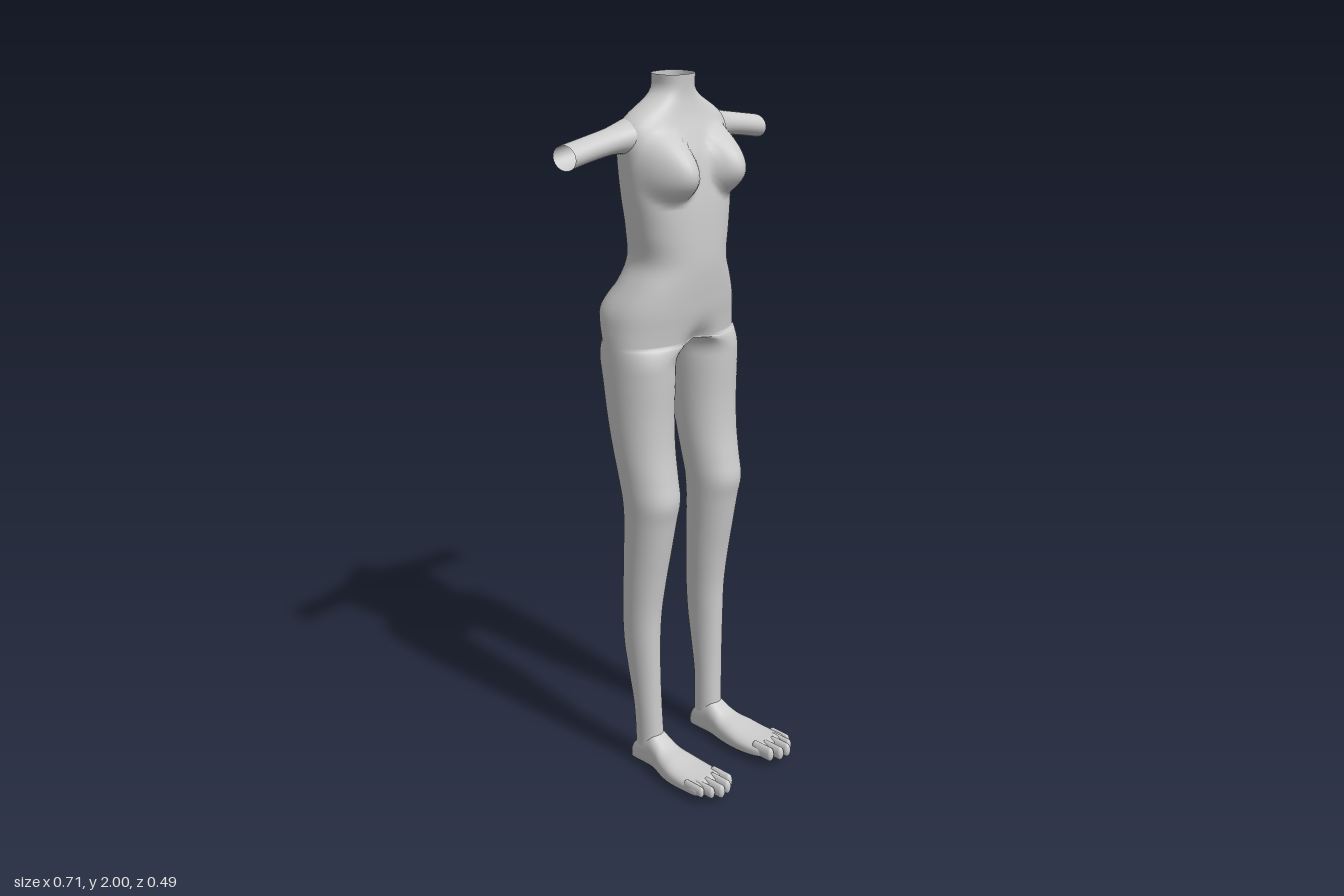
import * as THREE from 'three';
import { mergeGeometries, mergeVertices } from 'three/addons/utils/BufferGeometryUtils.js';

// Smooth interpolation through rows of [position, ...values]
function profile(rows) {
  const n = rows[0].length - 1;
  const curve = new THREE.CubicInterpolant(rows.map(r => r[0]), rows.flatMap(r => r.slice(1)), n, new Float32Array(n));
  return t => Array.from(curve.evaluate(t));
}

const gauss = (v, mid, width) => Math.exp(-(((v - mid) / width) ** 2));
const power = (v, n) => Math.sign(v) * Math.abs(v) ** (2 / n);

// Skin over closed rings; faces lying in the middle plane are left out
function loft(rings, capEnds = false) {
  const n = rings[0].length, pos = rings.flat(2), index = [];
  const onPlane = i => Math.abs(pos[i * 3]) < 1e-6;
  const face = (...f) => { if (!f.every(onPlane)) index.push(...f); };
  for (let i = 0; i < rings.length - 1; i++) {
    for (let j = 0; j < n; j++) {
      const k = (j + 1) % n, a = i * n + j, b = i * n + k;
      face(a, b, a + n);
      face(b, b + n, a + n);
    }
  }
  if (capEnds) {
    const last = (rings.length - 1) * n;
    for (let j = 1; j < n - 1; j++) {
      index.push(0, j + 1, j, last, last + j, last + j + 1);
    }
  }
  const g = new THREE.BufferGeometry();
  g.setAttribute('position', new THREE.Float32BufferAttribute(pos, 3));
  g.setIndex(index);
  g.computeVertexNormals();
  return g;
}

// Copy of a geometry on the other side of the body
function mirrored(geometry) {
  const g = geometry.clone(), p = g.attributes.position, idx = g.index.array;
  for (let i = 0; i < p.count; i++) p.setX(i, -p.getX(i));
  for (let i = 0; i < idx.length; i += 3) [idx[i], idx[i + 1]] = [idx[i + 1], idx[i]];
  g.computeVertexNormals();
  return g;
}

// y, half width, front z, back z
const torso = profile([
  [1.15, 0.212, 0.008, -0.192], [1.2, 0.213, 0.01, -0.2], [1.3, 0.212, 0.015, -0.222],
  [1.35, 0.208, 0.022, -0.24], [1.39, 0.202, 0.029, -0.247], [1.42, 0.19, 0.033, -0.232],
  [1.46, 0.168, 0.038, -0.205], [1.52, 0.14, 0.043, -0.187], [1.6, 0.149, 0.042, -0.178],
  [1.7, 0.165, 0.036, -0.18], [1.8, 0.175, 0.018, -0.178], [1.85, 0.177, 0, -0.17],
  [1.88, 0.168, -0.012, -0.162], [1.9, 0.148, -0.019, -0.156], [1.92, 0.115, -0.024, -0.148],
  [1.94, 0.08, -0.028, -0.14], [1.96, 0.058, -0.029, -0.136], [2, 0.055, -0.027, -0.134],
]);
// y, inner x, outer x, front z, back z
const leg = profile([
  [0.03, 0.089, 0.163, -0.02, -0.115], [0.1, 0.09, 0.163, -0.026, -0.113], [0.2, 0.092, 0.167, -0.03, -0.116],
  [0.3, 0.092, 0.172, -0.031, -0.132], [0.4, 0.089, 0.178, -0.031, -0.146], [0.5, 0.082, 0.182, -0.028, -0.148],
  [0.6, 0.073, 0.186, -0.015, -0.143], [0.7, 0.065, 0.19, 0.003, -0.138], [0.8, 0.057, 0.195, 0.021, -0.133],
  [0.86, 0.053, 0.199, 0.033, -0.137], [0.92, 0.049, 0.202, 0.023, -0.149], [1, 0.044, 0.207, 0.01, -0.165],
  [1.1, 0.04, 0.211, 0.006, -0.184], [1.2, 0.036, 0.213, 0.01, -0.2], [1.3, 0.032, 0.212, 0.015, -0.222],
  [1.35, 0.03, 0.208, 0.022, -0.24],
]);

// One half of the body at height y: half a torso above, a closed leg below
function bodyRing(y) {
  const OUT = 40, IN = 20, ring = [];
  const [w, tf, tb] = torso(Math.max(y, 1.15)), [xi, xo, lf, lb] = leg(Math.min(y, 1.35));
  const s = THREE.MathUtils.clamp((1.305 - y) / 0.065, 0, 1);
  const split = Math.sqrt(1 - (1 - s) ** 2);
  const zf = y > 1.25 ? tf : lf, zb = y > 1.25 ? tb : lb;
  const zc = (zf + zb) / 2, rz = (zf - zb) / 2, cx = (xi + xo) / 2;
  for (let j = 0; j < OUT + IN; j++) {
    const outer = j <= OUT;
    const a = outer ? Math.PI * j / OUT : Math.PI * (1 + (j - OUT) / IN);
    const sn = j === OUT || j === 0 ? 0 : Math.sin(a), cs = Math.cos(a);
    const tx = outer ? w * power(sn, 2.35) : 0;
    const lx = cx + (xo - xi) / 2 * power(sn, 2.15);
    const t = THREE.MathUtils.lerp(power(cs, 2.35), power(cs, 2.15), split);
    const x = tx + (lx - tx) * split;
    let z = zc + rz * t;
    const front = Math.min(1, Math.max(0, 2 * t)), back = Math.min(1, Math.max(0, -2 * t));
    // breasts: long slope above, tight curve below
    const r2 = ((x - 0.098) / 0.074) ** 2 + ((y - 1.765) / (y > 1.765 ? 0.105 : 0.08)) ** 2;
    z += front * 0.069 * Math.max(0, 1 - r2) ** 1.15;
    // hollow between the thighs, cleft and spine
    z -= front * 0.03 * gauss(x, 0, 0.045) * gauss(y, 1.29, 0.045);
    z += back * 0.052 * gauss(x, 0, 0.038) * gauss(y, 1.35, 0.075);
    z += back * 0.012 * gauss(x, 0, 0.03) * gauss(y, 1.65, 0.17);
    ring.push([x, y, z]);
  }
  return ring;
}

function bodyGeometry() {
  const rings = [];
  for (let y = 0.03; y < 1.9999; y += y > 1.22 && y < 1.33 ? 0.005 : 0.014) rings.push(bodyRing(y));
  rings.push(bodyRing(2));
  const half = loft(rings);
  const g = mergeGeometries([half, mirrored(half)]);
  g.deleteAttribute('normal');
  const whole = mergeVertices(g, 1e-5);
  whole.computeVertexNormals();
  return whole;
}

// Open upper arm, flaring into the shoulder
function armGeometry() {
  const at = profile([ // x, centre y, centre z, half height, half depth
    [0.1, 1.852, -0.094, 0.055, 0.07], [0.14, 1.852, -0.098, 0.047, 0.06], [0.175, 1.85, -0.101, 0.039, 0.049],
    [0.21, 1.846, -0.103, 0.034, 0.043], [0.27, 1.837, -0.106, 0.032, 0.041], [0.355, 1.822, -0.11, 0.032, 0.042],
  ]);
  const rings = [];
  for (let i = 0; i <= 24; i++) {
    const x = 0.1 + 0.255 * i / 24, [cy, cz, ry, rz] = at(x);
    rings.push(Array.from({ length: 32 }, (_, j) => {
      const a = j / 32 * Math.PI * 2;
      return [x, cy + ry * Math.cos(a), cz + rz * Math.sin(a)];
    }));
  }
  return loft(rings);
}

// Foot from heel to ball
function footGeometry() {
  const at = profile([ // z, inner x, outer x, bottom y, top y
    [-0.114, 0.093, 0.16, 0.001, 0.06], [-0.09, 0.089, 0.163, 0, 0.09], [-0.04, 0.087, 0.165, 0, 0.115],
    [-0.015, 0.085, 0.169, 0, 0.1], [0.015, 0.08, 0.179, 0, 0.082], [0.06, 0.074, 0.191, 0.002, 0.072],
    [0.1, 0.071, 0.195, 0.006, 0.065], [0.15, 0.073, 0.197, 0.012, 0.062], [0.18, 0.079, 0.198, 0.018, 0.061],
    [0.195, 0.087, 0.194, 0.027, 0.055],
  ]);
  const rings = [];
  for (let i = 0; i <= 40; i++) {
    const z = -0.114 + 0.309 * i / 40, [xi, xo, yb, yt] = at(z);
    rings.push(Array.from({ length: 36 }, (_, j) => {
      const a = j / 36 * Math.PI * 2, c = Math.cos(a), s = Math.sin(a);
      return [(xi + xo) / 2 + (xo - xi) / 2 * power(c, 2.6), (yb + yt) / 2 + (yt - yb) / 2 * power(s, s < 0 ? 4 : 2.3), z];
    }));
  }
  return loft(rings, true);
}

// Toe reaching forward to z = tip
function toeGeometry(x, tip, radius) {
  const g = new THREE.CapsuleGeometry(radius, 0.055, 6, 14);
  g.rotateX(Math.PI / 2);
  g.scale(1, 1.9, 1);
  g.translate(x, 0.043, tip - 0.0275 - radius);
  return g;
}

export function createModel() {
  const skin = new THREE.MeshStandardMaterial({ color: 0xcccccc, side: THREE.DoubleSide });
  skin.name = 'light grey';
  const model = new THREE.Group();
  model.name = 'mannequin';
  const add = (name, geometry) => {
    const mesh = new THREE.Mesh(geometry, skin);
    mesh.name = name;
    model.add(mesh);
  };
  const addPair = (name, geometry) => {
    add('left' + name, geometry);
    add('right' + name, mirrored(geometry));
  };

  add('torsoAndLegs', bodyGeometry());
  addPair('Arm', armGeometry());
  addPair('Foot', footGeometry());
  // x, tip z, radius, from the inner toe to the outer one
  const toes = [[0.092, 0.225, 0.012], [0.117, 0.242, 0.0115], [0.145, 0.245, 0.0115], [0.169, 0.228, 0.01], [0.188, 0.205, 0.009]];
  toes.forEach(([x, tip, r], i) => addPair('Toe' + (i + 1), toeGeometry(x, tip, r)));
  return model;
}
